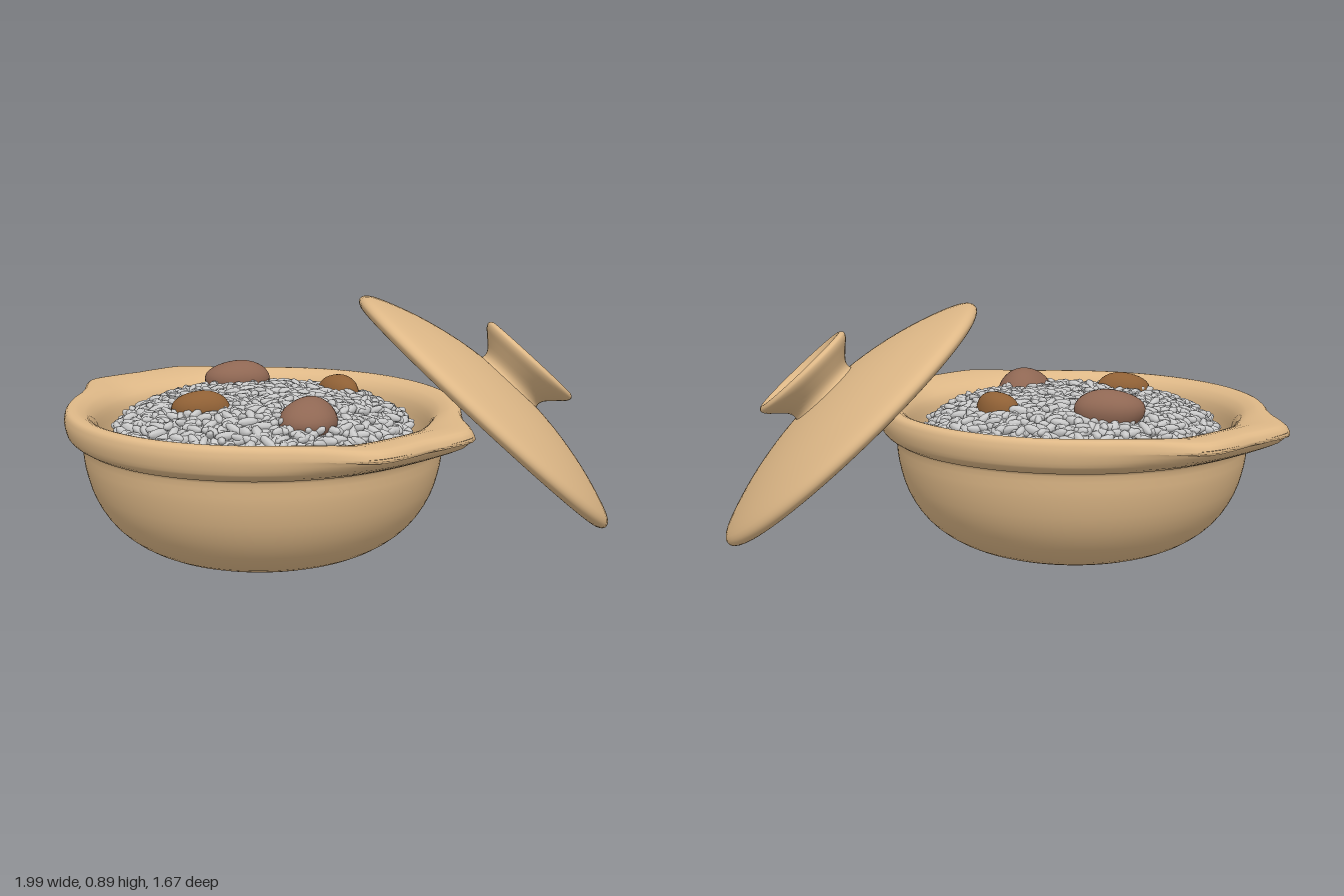
import * as THREE from 'three';
import { mergeGeometries, mergeVertices } from 'three/addons/utils/BufferGeometryUtils.js';

const clay = new THREE.MeshStandardMaterial({ color: 0xdeb887 });
const grey = new THREE.MeshStandardMaterial({ color: 0xcccccc });
const darkBrown = new THREE.MeshStandardMaterial({ color: 0x8f6753 });
const amberBrown = new THREE.MeshStandardMaterial({ color: 0x8f6035 });

const POT = new THREE.Vector3(-0.17, 0, 0.135);
const HANDLE_ANGLE = THREE.MathUtils.degToRad(25);

let seed = 7;
const rand = () => {
  seed = (seed * 16807) % 2147483647;
  return seed / 2147483647;
};

function named(name, geometry, material) {
  const mesh = new THREE.Mesh(geometry, material);
  mesh.name = name;
  return mesh;
}

// Smooth curve through [radius, height, handleWeight] points
const smoothProfile = (pts, n) =>
  new THREE.CatmullRomCurve3(pts.map(([r, y, w = 0]) => new THREE.Vector3(r, y, w)), false, 'centripetal').getPoints(n)
    .map((p) => p.setX(Math.max(0, p.x)));

// Lathe with the seam welded so normals stay smooth; warp moves each vertex
function turned(profile, segments, warp) {
  let geo = new THREE.LatheGeometry(profile.map((p) => new THREE.Vector2(p.x, p.y)), segments);
  const pos = geo.attributes.position;
  if (warp) {
    for (let i = 0; i < pos.count; i++) warp(pos, i, profile[i % profile.length]);
  }
  geo.deleteAttribute('uv');
  geo.deleteAttribute('normal');
  geo = mergeVertices(geo, 1e-5);
  geo.computeVertexNormals();
  return geo;
}

// Extra rim radius by angle away from the handle axis, in degrees
const BUMP = [[0, 0.108], [8, 0.123], [13, 0.137], [16, 0.131], [20, 0.096], [26, 0.044], [33, 0.014], [45, 0.002], [60, 0]];
function handleBump(angle) {
  let d = Math.abs(angle - HANDLE_ANGLE) % Math.PI;
  d = THREE.MathUtils.radToDeg(Math.min(d, Math.PI - d));
  for (let i = 1; i < BUMP.length; i++) {
    const [a, va] = BUMP[i - 1], [b, vb] = BUMP[i];
    if (d <= b) return va + (vb - va) * (d - a) / (b - a);
  }
  return 0;
}

function makePot() {
  const profile = smoothProfile([
    [0, 0.003], [0.22, 0.004], [0.34, 0.016], [0.45, 0.058], [0.54, 0.13], [0.6, 0.225], [0.63, 0.33], [0.638, 0.405],
    [0.65, 0.416, 0.1], [0.677, 0.435, 0.55], [0.691, 0.46, 0.9], [0.696, 0.495, 1], [0.69, 0.523, 0.95],
    [0.67, 0.533, 0.8], [0.635, 0.525, 0.4], [0.605, 0.5, 0.12], [0.588, 0.46, 0], [0.575, 0.38],
    [0.53, 0.23], [0.4, 0.12], [0, 0.08],
  ], 60);
  const geo = turned(profile, 128, (pos, i, p) => {
    const x = pos.getX(i), z = pos.getZ(i);
    const bump = handleBump(Math.atan2(z, x));
    const k = p.x > 1e-4 ? 1 + (p.z * bump) / p.x : 1;
    // the underside of each handle lifts and thins toward its edge
    const lift = p.y < 0.495 && p.x > 0.64 ? 0.2 * p.z * bump : 0;
    pos.setXYZ(i, x * k, p.y + lift, z * k);
  });
  return named('pot', geo, clay);
}

function makeLid() {
  const lid = new THREE.Group();
  lid.name = 'lid';
  const shell = smoothProfile([
    [0, 0.105], [0.2, 0.092], [0.4, 0.05], [0.52, 0.004], [0.55, -0.014], [0.58, -0.016], [0.602, -0.002],
    [0.603, 0.014], [0.585, 0.034], [0.45, 0.087], [0.3, 0.125], [0.15, 0.147], [0, 0.152],
  ], 50);
  const knob = smoothProfile([
    [0.15, 0.135], [0.132, 0.152], [0.135, 0.175], [0.17, 0.213], [0.197, 0.24], [0.202, 0.256], [0.188, 0.267],
    [0.168, 0.257], [0.12, 0.215], [0.06, 0.195], [0, 0.19],
  ], 36);
  lid.add(named('lidDome', turned(shell, 72), clay), named('lidKnob', turned(knob, 48), clay));
  // leaning against the rim of the pot
  lid.position.set(0.518, 0.472, -0.26);
  lid.quaternion.setFromUnitVectors(new THREE.Vector3(0, 1, 0), new THREE.Vector3(0.607, 0.737, -0.295).normalize());
  return lid;
}

const FILL_RADIUS = 0.52;
const moundHeight = (r) => 0.543 - 0.1 * (r / FILL_RADIUS) ** 4;

function makeRice() {
  const rice = new THREE.Group();
  rice.name = 'rice';
  const bed = [[0.54, 0.38]];
  for (let i = 8; i >= 0; i--) bed.push([FILL_RADIUS * i / 8, moundHeight(FILL_RADIUS * i / 8) - 0.006]);
  rice.add(named('riceBed', turned(smoothProfile(bed, 20), 48), grey));

  // grains spread in a jittered spiral
  const count = 1300, grains = [];
  const grain = new THREE.SphereGeometry(1, 7, 6);
  grain.deleteAttribute('uv');
  const m = new THREE.Matrix4(), q = new THREE.Quaternion(), e = new THREE.Euler();
  for (let i = 0; i < count; i++) {
    const r = Math.min(FILL_RADIUS, FILL_RADIUS * Math.sqrt((i + 0.5) / count) + (rand() - 0.5) * 0.02);
    const a = i * 2.39996 + (rand() - 0.5) * 0.1;
    e.set((rand() - 0.5) * 0.9, rand() * Math.PI * 2, Math.PI / 2 + (rand() - 0.5) * 0.9, 'YXZ');
    q.setFromEuler(e);
    const w = 0.014 + rand() * 0.004;
    m.compose(
      new THREE.Vector3(r * Math.cos(a), moundHeight(r) + (rand() - 0.4) * 0.022, r * Math.sin(a)),
      q,
      new THREE.Vector3(w, 0.03 + rand() * 0.011, w),
    );
    grains.push(grain.clone().applyMatrix4(m));
  }
  rice.add(named('riceGrains', mergeGeometries(grains), grey));
  return rice;
}

// Rounded topping with a slightly uneven surface
function makeTopping([x, y, z, rx, ry, rz, yaw, material], i) {
  const geo = new THREE.SphereGeometry(1, 28, 18);
  const pos = geo.attributes.position;
  for (let k = 0; k < pos.count; k++) {
    const px = pos.getX(k), py = pos.getY(k), pz = pos.getZ(k);
    const s = 1 + 0.05 * Math.sin(3 * px + i) * Math.cos(2.5 * pz + i) + 0.03 * Math.sin(4 * py + 2 * i);
    pos.setXYZ(k, px * s * rx, py * s * ry, pz * s * rz);
  }
  geo.computeVertexNormals();
  const mesh = named('topping', geo, material);
  mesh.position.set(x, y, z);
  mesh.rotation.y = yaw;
  return mesh;
}

export function createModel() {
  const model = new THREE.Group();
  model.name = 'clayPotWithRice';
  const pot = makePot(), rice = makeRice();
  pot.position.copy(POT);
  rice.position.copy(POT);
  model.add(pot, rice, makeLid());

  // x, y, z, radii, yaw, colour
  [
    [-0.39, 0.55, -0.1, 0.122, 0.078, 0.083, 0.4, darkBrown],
    [0.09, 0.53, 0.335, 0.098, 0.076, 0.115, 0.2, darkBrown],
    [0.015, 0.535, -0.125, 0.09, 0.06, 0.06, -0.35, amberBrown],
    [-0.295, 0.535, 0.375, 0.1, 0.073, 0.062, 0.4, amberBrown],
  ].forEach((t, i) => model.add(makeTopping(t, i)));
  return model;
}
